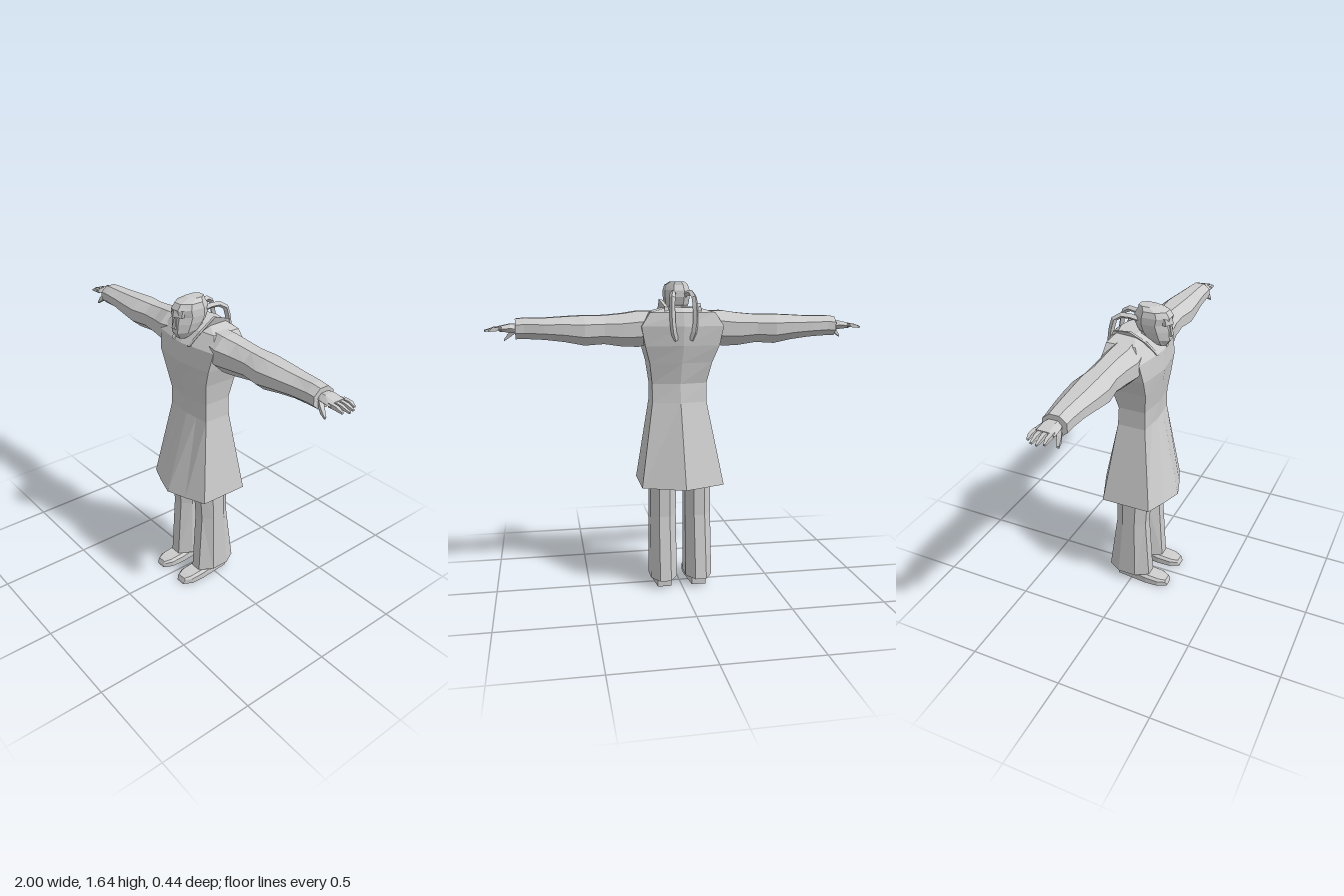
import * as THREE from 'three';

// Skin a closed solid over rings of [x, y, z] points, winding it outward
function loft(rings) {
  const n = rings[0].length, pos = rings.flat(2), idx = [];
  for (let r = 0; r < rings.length - 1; r++)
    for (let i = 0; i < n; i++) {
      const a = r * n + i, b = r * n + (i + 1) % n;
      idx.push(a, b, b + n, a, b + n, a + n);
    }
  const last = (rings.length - 1) * n;
  for (let i = 1; i < n - 1; i++) {
    idx.push(0, i + 1, i);
    idx.push(last, last + i, last + i + 1);
  }
  const v = i => new THREE.Vector3().fromArray(pos, i * 3);
  let volume = 0;
  for (let i = 0; i < idx.length; i += 3)
    volume += v(idx[i]).dot(v(idx[i + 1]).cross(v(idx[i + 2])));
  if (volume < 0) idx.reverse();
  const g = new THREE.BufferGeometry();
  g.setAttribute('position', new THREE.Float32BufferAttribute(pos, 3));
  g.setIndex(idx);
  g.computeVertexNormals();
  return g;
}

// Unit polygon with n sides, turned half a step so that flats face the axes
const polygon = n => Array.from({ length: n }, (_, i) => {
  const a = (i + 0.5) / n * Math.PI * 2, k = 1 / Math.cos(Math.PI / n);
  return [Math.cos(a) * k, Math.sin(a) * k];
});
const ringY = (n, y, cx, hx, cz, hz, tilt = 0) =>
  polygon(n).map(([a, b]) => [cx + a * hx, y + b * hz * tilt, cz + b * hz]);
const ringX = (n, x, cy, hy, cz, hz) =>
  polygon(n).map(([a, b]) => [x, cy + a * hy, cz + b * hz]);

export function createModel() {
  const group = new THREE.Group();
  const grey = new THREE.MeshStandardMaterial({ color: 0xcccccc, flatShading: true, side: THREE.DoubleSide });
  grey.name = 'light grey';
  const add = (name, geometry) => {
    const mesh = new THREE.Mesh(geometry, grey);
    mesh.name = name;
    group.add(mesh);
  };

  // Flared coat: y, centre x, half width, front ridge, front corner, back corner, back ridge
  const coat = [
    [0.575, 0, 0.22, 0.22, 0.14, -0.13, -0.22],
    [1.02, 0.01, 0.145, 0.092, 0.08, -0.072, -0.11],
    [1.12, 0.01, 0.145, 0.098, 0.08, -0.066, -0.1],
    [1.23, 0.005, 0.165, 0.115, 0.095, -0.09, -0.12],
    [1.32, 0, 0.195, 0.13, 0.1, -0.11, -0.14],
    [1.42, 0, 0.215, 0.122, 0.085, -0.12, -0.15],
    [1.49, 0, 0.17, 0.07, 0.045, -0.11, -0.14],
    [1.515, 0, 0.08, 0.02, 0.0, -0.09, -0.11],
  ];
  add('coat', loft(coat.map(([y, c, w, f, fc, bc, b]) => [
    [c, y, f], [c + w * 0.5, y, f * 0.55 + fc * 0.45], [c + w, y, fc], [c + w, y, bc],
    [c, y, b], [c - w, y, bc], [c - w, y, fc], [c - w * 0.5, y, f * 0.55 + fc * 0.45],
  ])));

  // Neck and forward-leaning head
  add('neck', loft([
    ringY(8, 1.42, 0, 0.055, 0.0, 0.055),
    ringY(8, 1.53, 0.003, 0.045, 0.05, 0.05),
  ]));
  add('head', loft([
    ringY(8, 1.455, 0.005, 0.03, 0.105, 0.03, -0.2),
    ringY(8, 1.49, 0.005, 0.052, 0.085, 0.072, -0.1),
    ringY(8, 1.53, 0.005, 0.062, 0.07, 0.085),
    ringY(8, 1.565, 0.005, 0.066, 0.06, 0.088),
    ringY(8, 1.6, 0.005, 0.066, 0.065, 0.093),
    ringY(8, 1.628, 0.005, 0.058, 0.063, 0.075),
    ringY(8, 1.645, 0.005, 0.036, 0.035, 0.045),
  ]));
  add('brow', loft([
    ringY(6, 1.565, 0.005, 0.042, 0.125, 0.038),
    ringY(6, 1.6, 0.005, 0.046, 0.12, 0.036),
  ]));
  add('nose', loft([
    ringY(4, 1.505, 0.005, 0.014, 0.148, 0.018),
    ringY(4, 1.57, 0.005, 0.006, 0.14, 0.012),
  ]));

  for (const s of [1, -1]) {
    const side = s > 0 ? 'left' : 'right';
    const flip = rings => rings.map(r => r.map(([x, y, z]) => [x * s, y, z]));
    // Thin slab between an outer edge and the same edge moved inward
    const slab = (pts, t) => loft(flip([pts, pts.map(([x, y, z]) => [x - t, y - 0.004, z])]));

    // Open standing collar leaf and lapel
    const h = s > 0 ? 0 : -0.02;
    add(side + 'Collar', slab([
      [0.07, 1.42, 0.118], [0.105, 1.49, 0.075], [0.11, 1.555 + h, -0.015],
      [0.095, 1.52, -0.11], [0.1, 1.44, -0.13], [0.13, 1.44, 0.02],
    ], 0.02));

    // Loose strap arching from the nape to the upper back
    const path = new THREE.CatmullRomCurve3([
      [0.03, 1.575, 0.0], [0.045, 1.59, -0.07], [0.055, 1.575, -0.115],
      [0.06, 1.5, -0.137], [0.055, 1.4, -0.145], [0.04, 1.35, -0.132],
    ].map(([x, y, z]) => new THREE.Vector3(x * s, y, z)));
    add(side + 'NeckStrap', new THREE.TubeGeometry(path, 8, 0.015, 4));

    // Sleeve: x, centre y, half height, centre z, half depth
    const sleeve = [
      [0.1, 1.42, 0.075, -0.02, 0.085], [0.22, 1.405, 0.092, -0.01, 0.095],
      [0.3, 1.4, 0.085, -0.02, 0.085], [0.4, 1.403, 0.073, -0.022, 0.08],
      [0.5, 1.4, 0.076, -0.022, 0.093], [0.6, 1.407, 0.064, -0.02, 0.085],
      [0.7, 1.41, 0.055, -0.02, 0.073], [0.8, 1.413, 0.053, -0.013, 0.062],
      [0.845, 1.41, 0.051, -0.012, 0.06],
    ];
    add(side + 'Sleeve', loft(flip(sleeve.map(a => ringX(8, ...a)))));

    // Hand with four fingers and a lowered thumb
    add(side + 'Palm', loft(flip([
      ringX(6, 0.82, 1.41, 0.026, -0.015, 0.03),
      ringX(6, 0.87, 1.415, 0.022, -0.02, 0.045),
      ringX(6, 0.925, 1.412, 0.013, -0.022, 0.05),
    ])));
    [0.975, 0.995, 1, 0.985].forEach((tip, i) => {
      const z = -0.06 + i * 0.026;
      add(side + 'Finger' + (i + 1), loft(flip([
        ringX(4, 0.91, 1.413, 0.01, z, 0.01),
        ringX(4, 0.955, 1.411, 0.009, z * 1.05, 0.009),
        ringX(4, tip, 1.402, 0.004, z * 1.08, 0.005),
      ])));
    });
    add(side + 'Thumb', loft(flip([
      ringX(4, 0.85, 1.4, 0.016, 0.01, 0.016),
      ringX(4, 0.88, 1.375, 0.013, 0.028, 0.012),
      ringX(4, 0.905, 1.35, 0.005, 0.034, 0.006),
    ])));

    // Trouser leg, widening backward at the hem
    add(side + 'TrouserLeg', loft(flip([
      ringY(8, 0.05, 0.097, 0.072, -0.018, 0.122),
      ringY(8, 0.4, 0.096, 0.07, -0.005, 0.086),
      ringY(8, 0.62, 0.094, 0.07, 0.002, 0.092),
    ])));

    // Shoe, built from cross-sections heel to toe: z, half width, height
    const shoe = [[-0.085, 0.038, 0.055], [0.04, 0.05, 0.055], [0.09, 0.055, 0.05],
      [0.165, 0.052, 0.042], [0.205, 0.032, 0.035], [0.215, 0.025, 0.012]];
    add(side + 'Shoe', loft(flip(shoe.map(([z, w, t]) => [
      [0.095 - w, 0, z], [0.095 + w, 0, z], [0.095 + w, t * 0.7, z],
      [0.095 + w * 0.75, t, z], [0.095 - w * 0.75, t, z], [0.095 - w, t * 0.7, z],
    ]))));
  }
  return group;
}
